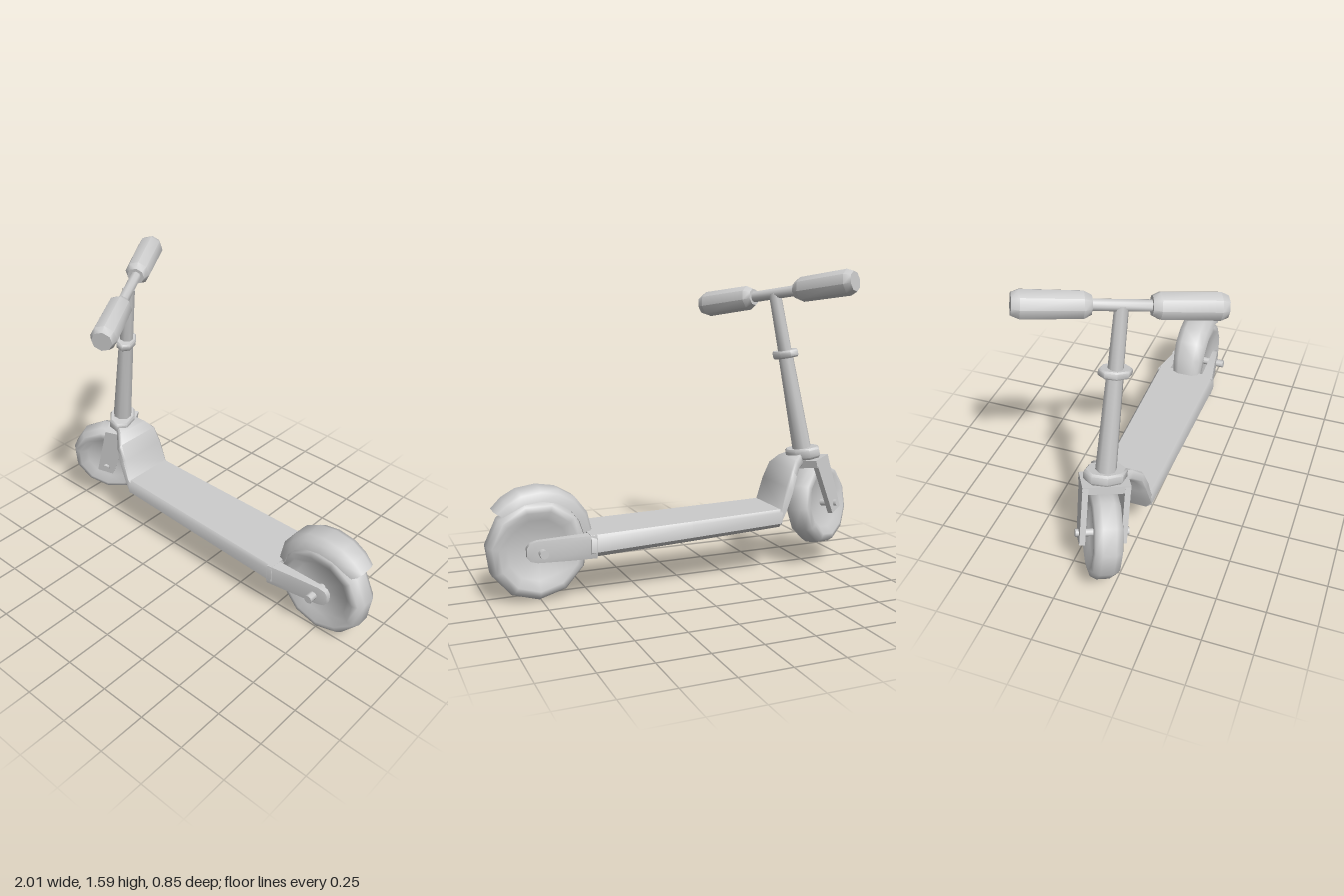
import * as THREE from 'three';
import { toCreasedNormals } from 'three/addons/utils/BufferGeometryUtils.js';

const MAT = new THREE.MeshStandardMaterial({ color: 0xcccccc });
const MID_Z = -0.062; // centre plane of deck and rear wheel

function add(parent, name, geometry, crease = 0.85) {
  const mesh = new THREE.Mesh(toCreasedNormals(geometry, crease), MAT);
  mesh.name = name;
  parent.add(mesh);
  return mesh;
}

// Turned part about y, profile [radius, height] from bottom to top
const lathe = (profile, sides) =>
  new THREE.LatheGeometry(profile.map(([r, h]) => new THREE.Vector2(r, h)), sides);

// Sweep a section through stations [topX, topY, bottomX, bottomY, halfWidth, z].
// Section points are [side, level]: side -1..1 over the width, level 0..1 bottom to top.
function band(stations, section) {
  const n = section.length, pos = [], idx = [];
  for (const [tx, ty, bx, by, w, z = MID_Z] of stations)
    for (const [s, v] of section)
      pos.push(bx + (tx - bx) * v, by + (ty - by) * v, z + s * w);
  const last = (stations.length - 1) * n;
  for (let r = 0; r < last; r += n)
    for (let j = 0; j < n; j++) {
      const a = r + j, b = r + (j + 1) % n;
      idx.push(a, b, a + n, b, b + n, a + n);
    }
  for (let j = 0; j < n / 2 - 1; j++) { // end caps
    const k = n - 1 - j;
    idx.push(j, k, j + 1, j + 1, k, k - 1);
    idx.push(last + j, last + j + 1, last + k, last + j + 1, last + k - 1, last + k);
  }
  const g = new THREE.BufferGeometry();
  g.setAttribute('position', new THREE.Float32BufferAttribute(pos, 3));
  g.setIndex(idx);
  return g;
}

const BOARD = [[-1, 0.85], [-0.92, 1], [0.92, 1], [1, 0.85], [1, 0.25], [0.8, 0], [-0.8, 0], [-1, 0.25]];
const SHELL = [[-1, -0.5], [-0.88, 0.55], [-0.5, 1], [0.5, 1], [0.88, 0.55], [1, -0.5],
  [0.85, -0.5], [0.74, 0.1], [0.42, 0.35], [-0.42, 0.35], [-0.74, 0.1], [-0.85, -0.5]];

// Chunky wheel with dished faces, axis along z
function wheel(R, w, sides) {
  const half = [[R, w * 0.45], [R * 0.92, w * 0.9], [R * 0.8, w], [R * 0.62, w * 0.6], [0.0001, w * 0.45]];
  const mirrored = half.map(([r, h]) => [r, -h]).reverse();
  return lathe([...mirrored, ...half], sides).rotateX(Math.PI / 2);
}

const rod = (r, length, sides = 8) => new THREE.CylinderGeometry(r, r, length, sides).rotateX(Math.PI / 2);

function buildRear(group) {
  // Deck and the curved neck that climbs to the steering head
  add(group, 'deck', band([
    [-0.515, 0.355, -0.51, 0.255, 0.148],
    [0, 0.342, 0, 0.235, 0.158],
    [0.53, 0.33, 0.53, 0.216, 0.168],
  ], BOARD));
  add(group, 'neck', band([
    [-0.66, 0.62, -0.68, 0.565, 0.07],
    [-0.615, 0.598, -0.645, 0.55, 0.1],
    [-0.575, 0.555, -0.61, 0.51, 0.135],
    [-0.54, 0.47, -0.585, 0.43, 0.145],
    [-0.505, 0.355, -0.55, 0.345, 0.148],
    [-0.48, 0.33, -0.51, 0.255, 0.148],
  ], BOARD), 1);

  // Arms that taper back either side of the rear wheel
  for (const side of [-1, 1])
    add(group, 'rearArm', band([
      [0.5, 0.33, 0.5, 0.216, 0.036, MID_Z + side * 0.132],
      [0.62, 0.325, 0.62, 0.212, 0.026, MID_Z + side * 0.119],
      [0.78, 0.317, 0.78, 0.211, 0.016, MID_Z + side * 0.102],
      [0.815, 0.308, 0.815, 0.22, 0.015, MID_Z + side * 0.098],
      [0.83, 0.285, 0.83, 0.24, 0.014, MID_Z + side * 0.096],
    ], BOARD));

  add(group, 'rearWheel', wheel(0.25, 0.075, 11), 1).position.set(0.757, 0.25, MID_Z + 0.007);
  add(group, 'rearAxle', rod(0.022, 0.32)).position.set(0.757, 0.26, MID_Z + 0.005);

  // Rear fender, hooked up slightly at its tail
  add(group, 'rearFender', band([
    [0.49, 0.32, 0.525, 0.32, 0.08],
    [0.515, 0.42, 0.55, 0.40, 0.088],
    [0.575, 0.5, 0.6, 0.465, 0.092],
    [0.655, 0.546, 0.668, 0.506, 0.092],
    [0.75, 0.562, 0.75, 0.522, 0.092],
    [0.85, 0.548, 0.838, 0.51, 0.09],
    [0.92, 0.51, 0.9, 0.478, 0.086],
    [0.97, 0.46, 0.945, 0.445, 0.076],
  ], SHELL), 1);
}

// Everything that turns with the bar: local y up the stem, z along the bar, -x forward
function buildSteering() {
  const steering = new THREE.Group();
  steering.name = 'steering';
  const up = new THREE.Vector3(0.158, 0.84, 0.045).normalize();
  const back = new THREE.Vector3().crossVectors(up, new THREE.Vector3(0.498, -0.107, 0.86)).normalize();
  const across = new THREE.Vector3().crossVectors(back, up);
  steering.applyMatrix4(new THREE.Matrix4().makeBasis(back, up, across).setPosition(-0.705, 0.62, -0.07));

  // Stem, clamp and steering head
  add(steering, 'lowerStem', lathe([[0, -0.03], [0.052, -0.03], [0.039, 0.55], [0, 0.55]], 8));
  add(steering, 'upperStem', lathe([[0, 0.53], [0.037, 0.53], [0.032, 0.865], [0, 0.865]], 8));
  const ring = (r, h) => lathe([[0, -h], [r * 0.9, -h], [r, -h * 0.6], [r, h * 0.6], [r * 0.9, h], [0, h]], 8);
  const clamp = add(steering, 'stemClamp', ring(0.052, 0.02));
  clamp.position.y = 0.542;
  clamp.scale.z = 1.5;
  const head = add(steering, 'steeringHead', ring(0.07, 0.03));
  head.scale.z = 1.5;

  // Handlebar and grips
  add(steering, 'handlebar', rod(0.028, 0.36)).position.y = 0.862;
  for (const side of [-1, 1]) {
    const grip = add(steering, 'grip', lathe(
      [[0, 0.13], [0.045, 0.13], [0.064, 0.165], [0.067, 0.43], [0.052, 0.465], [0, 0.465]], 8)
      .rotateX(side * Math.PI / 2));
    grip.position.y = 0.862;
  }

  // Fork
  add(steering, 'forkCrown', new THREE.BoxGeometry(0.13, 0.04, 0.23)).position.set(0, -0.05, 0);
  const leg = new THREE.Shape([[-0.065, -0.035], [-0.1, -0.335], [-0.01, -0.345], [0.062, -0.04]]
    .map(([x, y]) => new THREE.Vector2(x, y)));
  for (const side of [-1, 1]) {
    const geometry = new THREE.ExtrudeGeometry(leg, { depth: 0.028, bevelEnabled: false });
    add(steering, 'forkLeg', geometry).position.z = side * 0.1 - 0.014;
  }
  add(steering, 'frontWheel', wheel(0.222, 0.07, 11), 1).position.set(-0.05, -0.298, 0);
  add(steering, 'frontAxle', rod(0.019, 0.26)).position.set(-0.05, -0.298, 0);
  return steering;
}

export function createModel() {
  const scooter = new THREE.Group();
  scooter.name = 'kickScooter';
  buildRear(scooter);
  scooter.add(buildSteering());
  return scooter;
}
